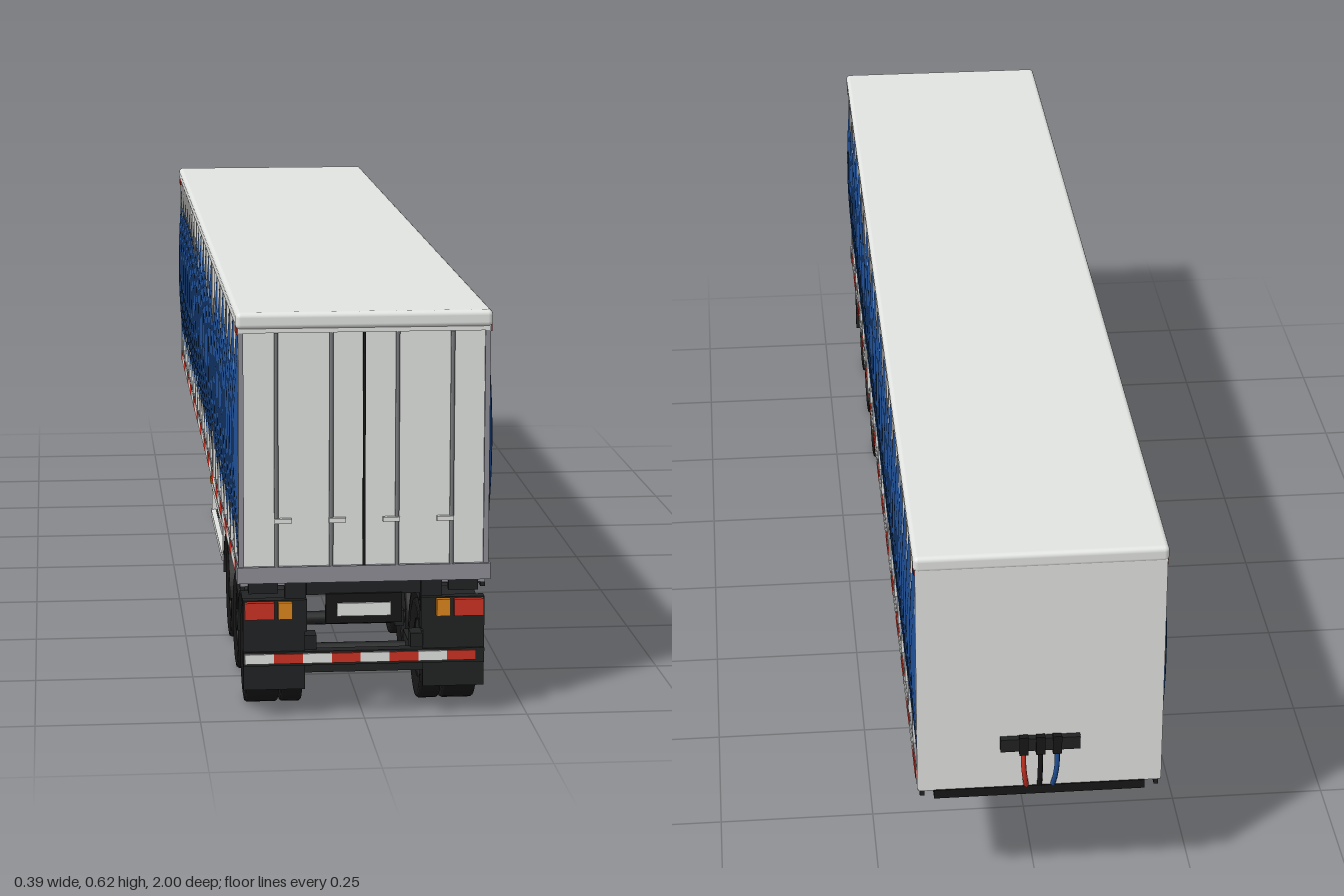
import * as THREE from 'three';
import { RoundedBoxGeometry } from 'three/addons/geometries/RoundedBoxGeometry.js';

const paint = (name, color) => {
  const m = new THREE.MeshStandardMaterial({ color });
  m.name = name;
  return m;
};

export function createModel() {
  const M = {
    panel: paint('light grey panel', 0xe2e4e1),
    steel: paint('mid grey steel', 0x8e8f96),
    bar: paint('dark grey metal', 0x76787a),
    curtain: paint('blue curtain', 0x1f4f95),
    frame: paint('chassis black', 0x212223),
    rubber: paint('rubber black', 0x171717),
    red: paint('red', 0xcc3224),
    amber: paint('amber', 0xdc861c),
  };
  const root = new THREE.Group();
  root.name = 'boxTrailer';
  const group = (name, parent = root) => {
    const g = new THREE.Group();
    g.name = name;
    parent.add(g);
    return g;
  };
  const add = (parent, name, geo, mat) => {
    const m = new THREE.Mesh(geo, mat);
    m.name = name;
    parent.add(m);
    return m;
  };
  // Box from its limits
  const box = (parent, name, mat, x0, x1, y0, y1, z0, z1) => {
    const m = add(parent, name, new THREE.BoxGeometry(Math.abs(x1 - x0), y1 - y0, z1 - z0), mat);
    m.position.set((x0 + x1) / 2, (y0 + y1) / 2, (z0 + z1) / 2);
    return m;
  };
  // Round bar between two points
  const rod = (parent, name, mat, a, b, r, sides = 10) => {
    const p = new THREE.Vector3(...a), q = new THREE.Vector3(...b);
    const m = add(parent, name, new THREE.CylinderGeometry(r, r, p.distanceTo(q), sides), mat);
    m.position.copy(p).lerp(q, 0.5);
    m.quaternion.setFromUnitVectors(new THREE.Vector3(0, 1, 0), q.sub(p).normalize());
    return m;
  };

  // ---- Cargo body
  const body = group('cargoBody');
  box(body, 'floor', M.steel, -0.187, 0.187, 0.203, 0.236, -0.98, 0.97);
  box(body, 'frontWall', M.panel, -0.19, 0.19, 0.206, 0.605, -0.986, -0.972);
  const roof = add(body, 'roof', new RoundedBoxGeometry(0.387, 0.026, 1.976, 4, 0.008), M.panel);
  roof.position.set(0, 0.612, 0.001);

  // ---- Rear doors
  const doors = group('rearDoors');
  box(doors, 'doorPanel', M.panel, -0.183, 0.183, 0.23, 0.605, 0.965, 0.981);
  box(doors, 'doorSeam', M.rubber, -0.002, 0.002, 0.236, 0.596, 0.98, 0.984);
  box(doors, 'rearSill', M.steel, -0.193, 0.193, 0.211, 0.236, 0.955, 0.988);
  box(doors, 'doorHeader', M.panel, -0.19, 0.19, 0.594, 0.604, 0.97, 0.986);
  for (const s of [-1, 1]) {
    box(doors, 'rearPost', M.steel, s * 0.182, s * 0.19, 0.23, 0.6, 0.965, 0.985);
    for (const x of [0.05, 0.133]) {
      rod(doors, 'lockBar', M.bar, [s * x, 0.236, 0.985], [s * x, 0.594, 0.985], 0.0032);
    }
    for (const x of [0.041, 0.123]) box(doors, 'lockHandle', M.panel, s * (x - 0.013), s * (x + 0.013), 0.304, 0.311, 0.984, 0.991);
  }

  // ---- Side curtains: one bulging panel between each pair of straps
  const Y0 = 0.236, Y1 = 0.601, PITCH = 0.0895;
  const pillow = s => {
    const geo = new THREE.PlaneGeometry(PITCH, Y1 - Y0, 10, 12).rotateY(s * Math.PI / 2);
    const p = geo.attributes.position;
    for (let i = 0; i < p.count; i++) {
      const u = 2 * p.getZ(i) / PITCH, t = p.getY(i) / (Y1 - Y0);
      p.setX(i, s * (0.187 + 0.01 * Math.cos(Math.PI * t) * (1 - u ** 6)));
    }
    geo.computeVertexNormals();
    return geo;
  };
  for (const s of [-1, 1]) {
    const side = group(s > 0 ? 'leftSide' : 'rightSide');
    const panelGeo = pillow(s);
    for (let i = 0; i < 22; i++) {
      add(side, 'curtainPanel', panelGeo, M.curtain).position.set(0, (Y0 + Y1) / 2, (i - 10.5) * PITCH);
    }
    box(side, 'frontCornerPost', M.panel, s * 0.178, s * 0.191, 0.21, 0.605, -0.986, -0.978);
    for (let i = -10; i <= 10; i++) {
      const z = i * PITCH;
      box(side, 'strap', M.panel, s * 0.18, s * 0.1915, Y0, Y1, z - 0.0048, z + 0.0048);
      if (i % 2) box(side, 'strapBuckle', M.panel, s * 0.186, s * 0.192, Y0, 0.262, z - 0.007, z + 0.007);
    }
    // Straight posts that show above and below the bulge
    box(side, 'slidingPost', M.panel, s * 0.18, s * 0.194, Y0, Y1, 0.323, 0.338);
    box(side, 'slidingPost', M.panel, s * 0.18, s * 0.193, Y0, Y1, -0.33, -0.322);

    box(side, 'sideRail', M.steel, s * 0.18, s * 0.191, 0.212, 0.238, -0.984, 0.97);
    const dash = 0.0672;
    for (let i = 0; i < 29; i++) {
      const z = 0.981 - i * dash;
      box(side, 'reflectiveTape', i % 2 ? M.panel : M.red, s * 0.19, s * 0.1925, 0.217, 0.235, z - dash, z);
    }
    for (const z of [-0.965, 0.968]) box(side, 'cornerMarker', M.red, s * 0.186, s * 0.1925, 0.592, 0.602, z - 0.016, z + 0.016);
    box(side, 'sideMarker', M.amber, s * 0.184, s * 0.192, 0.199, 0.21, 0.198, 0.22);

    // Side guard and brake valve
    const guard = group('sideGuard', side);
    for (const y of [0.1, 0.16]) box(guard, 'guardRail', M.panel, s * 0.172, s * 0.181, y - 0.006, y + 0.006, 0.002, 0.362);
    for (const z of [0.006, 0.354]) box(guard, 'guardPost', M.panel, s * 0.17, s * 0.179, 0.094, 0.2, z - 0.005, z + 0.005);
    box(guard, 'brakeValve', M.red, s * 0.168, s * 0.178, 0.15, 0.158, 0.225, 0.255);
  }

  // ---- Chassis
  const chassis = group('chassis');
  for (const s of [-1, 1]) {
    box(chassis, 'mainBeam', M.frame, s * 0.088, s * 0.105, 0.172, 0.206, -0.66, 0.96);
    box(chassis, 'outerBeam', M.frame, s * 0.18, s * 0.187, 0.196, 0.213, -0.984, 0.97);
  }
  for (let i = 0; i < 9; i++) {
    const z = -0.55 + i * 0.18;
    box(chassis, 'crossMember', M.frame, -0.165, 0.165, 0.185, 0.204, z - 0.012, z + 0.012);
  }
  box(chassis, 'couplingPlate', M.rubber, -0.13, 0.13, 0.178, 0.206, -0.82, -0.66);
  box(chassis, 'frontPlate', M.rubber, -0.165, 0.165, 0.192, 0.207, -0.988, -0.64);
  rod(chassis, 'kingpin', M.frame, [0, 0.164, -0.765], [0, 0.2, -0.765], 0.009, 16);

  // ---- Landing legs
  const legs = group('landingGear');
  for (const s of [-1, 1]) {
    box(legs, 'landingLeg', M.frame, s * 0.12, s * 0.14, 0.01, 0.206, -0.411, -0.391);
    box(legs, 'landingFoot', M.frame, s * 0.107, s * 0.153, 0, 0.01, -0.425, -0.378);
    rod(legs, 'legBrace', M.frame, [s * 0.13, 0.125, -0.4], [s * 0.13, 0.195, -0.3], 0.005, 8);
  }
  rod(legs, 'legCrossBar', M.frame, [-0.13, 0.185, -0.4], [0.13, 0.185, -0.4], 0.006, 8);

  // ---- Axles and twin wheels
  const R = 0.078;
  const tyre = w => new THREE.LatheGeometry([
    [0.046, -w / 2 + 0.004], [0.07, -w / 2], [0.076, -w / 2 + 0.001], [R, -w / 2 + 0.004],
    [R, w / 2 - 0.004], [0.076, w / 2 - 0.001], [0.07, w / 2], [0.046, w / 2 - 0.004], [0.046, -w / 2 + 0.004],
  ].map(p => new THREE.Vector2(...p)), 40).rotateZ(-Math.PI / 2);
  const outerTyre = tyre(0.052), innerTyre = tyre(0.034);
  const running = group('runningGear');
  [0.885, 0.693, 0.501].forEach((z, n) => {
    rod(running, 'axle', M.frame, [-0.15, R, z], [0.15, R, z], 0.011, 14);
    for (const s of [-1, 1]) {
      const wheel = group('wheel', running);
      wheel.position.set(0, R, z);
      add(wheel, 'outerTyre', outerTyre, M.rubber).position.x = s * 0.152;
      add(wheel, 'innerTyre', innerTyre, M.rubber).position.x = s * 0.107;
      rod(wheel, 'rimBarrel', M.frame, [s * 0.096, 0, 0], [s * 0.168, 0, 0], 0.047, 32);
      rod(wheel, 'rimDisc', M.steel, [s * 0.16, 0, 0], [s * 0.17, 0, 0], 0.04, 32);
      rod(wheel, 'hub', M.frame, [s * 0.16, 0, 0], [s * 0.177, 0, 0], 0.018, 20);
      for (let i = 0; i < 10; i++) {
        const a = i * Math.PI / 5, c = 0.03 * Math.cos(a), d = 0.03 * Math.sin(a);
        rod(wheel, 'rimHole', M.rubber, [s * 0.168, c, d], [s * 0.171, c, d], 0.0045, 8);
      }
      box(running, 'airSpringArm', M.frame, s * 0.075, s * 0.09, 0.075, 0.1, z - 0.03, z + 0.05);
      if (n !== 1) {
        const arc = new THREE.Shape();
        arc.absarc(0, 0, 0.095, 0.1, Math.PI - 0.1, false);
        arc.absarc(0, 0, 0.09, Math.PI - 0.1, 0.1, true);
        const fender = add(running, 'mudguard', new THREE.ExtrudeGeometry(arc, { depth: 0.09, bevelEnabled: false, curveSegments: 20 })
          .translate(0, 0, -0.045).rotateY(-Math.PI / 2), M.frame);
        fender.position.set(s * 0.136, R, z);
      }
    }
  });

  // ---- Rear bumper, lamps and plate holder
  const rear = group('rearEnd');
  rear.position.z = 0.01;
  box(rear, 'bumper', M.frame, -0.184, 0.184, 0.083, 0.105, 0.962, 0.982);
  box(rear, 'bumperLowerBar', M.frame, -0.09, 0.09, 0.07, 0.085, 0.955, 0.975);
  for (let i = 0; i < 8; i++) {
    const x = -0.182 + i * 0.0441;
    box(rear, 'bumperTape', i % 2 ? M.red : M.panel, x, x + 0.0441, 0.087, 0.102, 0.981, 0.985);
  }
  box(rear, 'rearCrossBeam', M.frame, -0.087, 0.087, 0.19, 0.213, 0.945, 0.97);
  box(rear, 'plateHolder', M.rubber, -0.058, 0.058, 0.146, 0.192, 0.965, 0.975);
  box(rear, 'plate', M.panel, -0.041, 0.041, 0.158, 0.178, 0.974, 0.979);
  for (const s of [-1, 1]) {
    box(rear, 'mudFlap', M.frame, s * 0.09, s * 0.184, 0.045, 0.155, 0.972, 0.978);
    box(rear, 'lampBracket', M.frame, s * 0.087, s * 0.184, 0.135, 0.185, 0.962, 0.979);
    box(rear, 'lampHanger', M.frame, s * 0.088, s * 0.12, 0.185, 0.213, 0.95, 0.97);
    box(rear, 'lampHanger', M.frame, s * 0.13, s * 0.175, 0.193, 0.213, 0.95, 0.97);
    box(rear, 'bumperArm', M.frame, s * 0.072, s * 0.09, 0.1, 0.127, 0.94, 0.972);
    box(rear, 'tailLamp', M.red, s * 0.137, s * 0.182, 0.157, 0.183, 0.976, 0.988);
    box(rear, 'indicatorLamp', M.amber, s * 0.11, s * 0.131, 0.157, 0.183, 0.976, 0.988);
  }

  // ---- Supply connections on the front wall
  const supply = group('supplyConnections');
  box(supply, 'connectorBracket', M.frame, -0.062, 0.062, 0.278, 0.3, -0.997, -0.985);
  [M.red, M.rubber, M.curtain].forEach((mat, i) => {
    const x = 0.026 * (1 - i);
    box(supply, 'connector', M.rubber, x - 0.007, x + 0.007, 0.272, 0.304, -1, -0.99);
    const path = new THREE.CatmullRomCurve3([[x, 0.28, -0.994], [x, 0.25, -0.995], [x * 0.9, 0.225, -0.992], [x * 0.8, 0.207, -0.985]]
      .map(p => new THREE.Vector3(...p)));
    add(supply, 'hose', new THREE.TubeGeometry(path, 12, 0.004, 8), mat);
  });
  return root;
}
